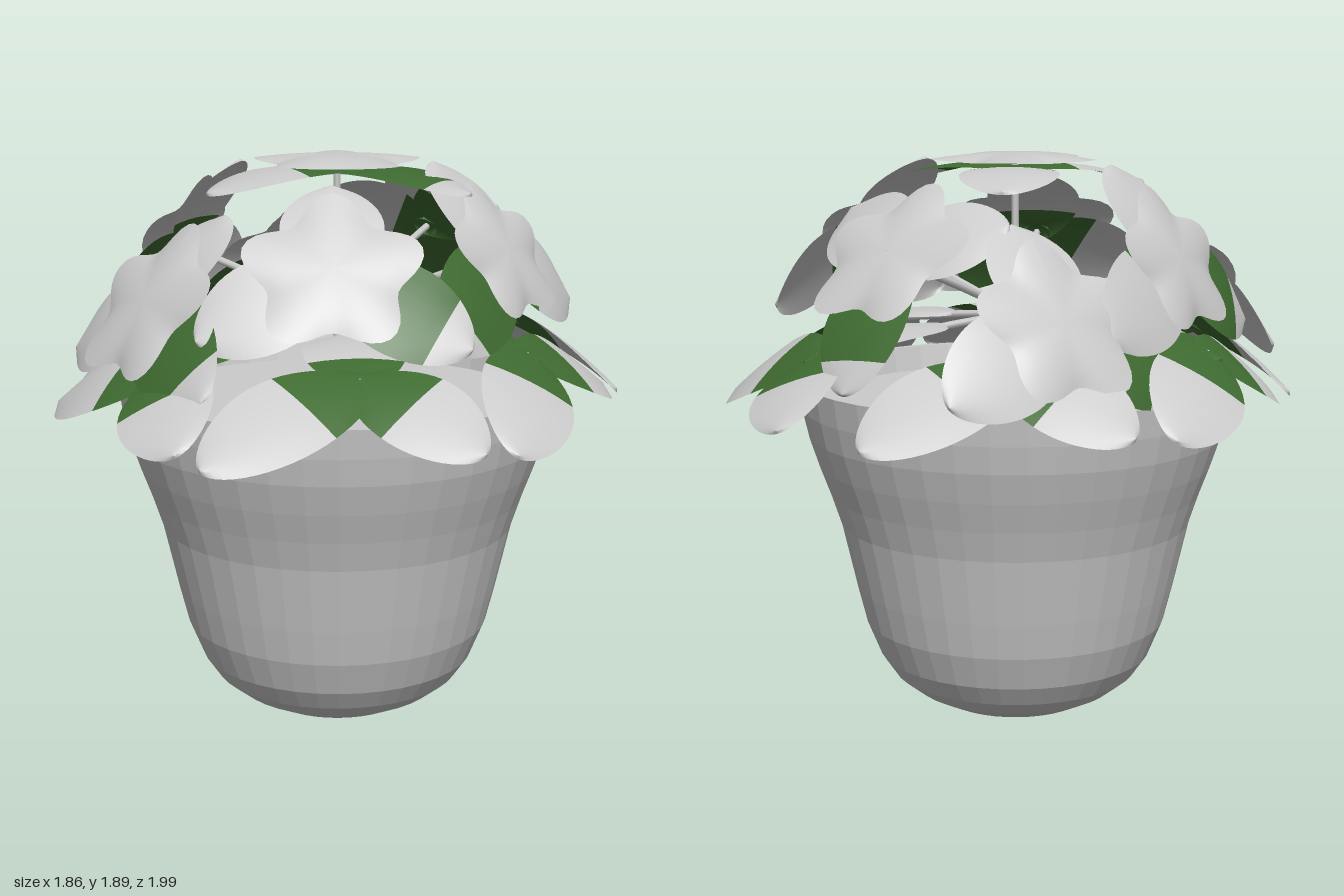
import * as THREE from 'three';

const V = (x, y, z) => new THREE.Vector3(x, y, z);
const rad = THREE.MathUtils.degToRad;
const grey = new THREE.MeshStandardMaterial({ color: 0xcccccc, side: THREE.DoubleSide });
const potGrey = new THREE.MeshStandardMaterial({ color: 0xcccccc, side: THREE.DoubleSide, flatShading: true });
const green = new THREE.MeshStandardMaterial({ color: 0x3f6b31, side: THREE.DoubleSide });

function addMesh(parent, name, geometry, material) {
  const mesh = new THREE.Mesh(geometry, material);
  mesh.name = name;
  parent.add(mesh);
  return mesh;
}

// Basis with x along dir, y as close to normal as possible, origin at pos
function frame(pos, dir, normal) {
  const x = dir.clone().normalize();
  const z = x.clone().cross(normal).normalize();
  const y = z.clone().cross(x);
  return new THREE.Matrix4().makeBasis(x, y, z).setPosition(pos);
}

// Rounded leaf blade between two fractions of its length, gently cupped and arched
function bladeGeometry(length, t0, t1) {
  const g = new THREE.PlaneGeometry(1, 1, 14, 6);
  const p = g.attributes.position;
  for (let i = 0; i < p.count; i++) {
    const t = THREE.MathUtils.lerp(t0, t1, p.getX(i) + 0.5);
    const u = (1 - Math.cos(Math.PI * t)) / 2;
    const half = 0.16 * Math.pow(Math.max(0, Math.sin(Math.PI * Math.pow(u, 1.12))), 0.55);
    const s = p.getY(i) * 2;
    p.setXYZ(i, u * length, 0.06 * Math.sin(Math.PI * u) * length - 0.012 * s * s, -s * half);
  }
  g.computeVertexNormals();
  return g;
}

// Leaf with a green base and a pale tip; the base reaches a little behind its junction
function addLeaf(parent, junction, tip, normal, greenPart) {
  const leaf = new THREE.Group();
  leaf.name = 'leaf';
  const base = junction.clone().lerp(tip, -0.1);
  const dir = tip.clone().sub(base);
  const length = dir.length();
  addMesh(leaf, 'leafBase', bladeGeometry(length, 0, greenPart), green);
  addMesh(leaf, 'leafTip', bladeGeometry(length, greenPart, 1), grey);
  leaf.applyMatrix4(frame(base, dir, normal));
  parent.add(leaf);
}

// Five-lobed bloom, shallowly domed
function bloomGeometry(radius) {
  const g = new THREE.RingGeometry(0.001, 1, 60, 6);
  const p = g.attributes.position;
  for (let i = 0; i < p.count; i++) {
    const x = p.getX(i), y = p.getY(i);
    const a = Math.atan2(y, x), r = Math.hypot(x, y);
    const wave = Math.cos(5 * a);
    const out = radius * r * (1 + r * (0.14 * wave - 0.14));
    p.setXYZ(i, out * Math.cos(a), 0.004 * r * r * wave - 0.025 * r * r, -out * Math.sin(a));
  }
  g.computeVertexNormals();
  return g;
}

function addStem(parent, from, to) {
  const bend = from.clone().lerp(to, 0.5).add(V(0, 0.02, 0));
  const curve = new THREE.QuadraticBezierCurve3(from, bend, to);
  addMesh(parent, 'stem', new THREE.TubeGeometry(curve, 6, 0.013, 6), grey);
}

export function createModel() {
  const model = new THREE.Group();
  model.name = 'pottedFlowers';

  // Pot: faceted bell with a thin lip, turned inward at the rim
  const profile = [
    [0, 0.005], [0.14, 0.03], [0.25, 0.055], [0.34, 0.1], [0.41, 0.155], [0.458, 0.225], [0.505, 0.34],
    [0.535, 0.46], [0.56, 0.57], [0.585, 0.68], [0.618, 0.78], [0.655, 0.88], [0.688, 0.98],
    [0.708, 1.07], [0.722, 1.165], [0.695, 1.165], [0.68, 1.08],
  ].map(([r, y]) => new THREE.Vector2(r, y));
  addMesh(model, 'pot', new THREE.LatheGeometry(profile, 40), potGrey).position.x = -0.02;

  // Soil
  const soil = addMesh(model, 'soil', new THREE.CircleGeometry(0.685, 40), grey);
  soil.rotation.x = -Math.PI / 2;
  soil.position.set(-0.02, 1.08, 0);

  // Central stem
  const hub = V(-0.02, 1.37, 0);
  addStem(model, V(-0.02, 1.06, 0), V(-0.02, 1.86, 0));

  // Flowers: position, heading of the face, tilt from upright, leaf twist, radius, greener side
  const flowers = [
    [-0.02, 1.9, 0.01, 90, 0, 0, 0.28, 1],
    [-0.04, 1.62, 0.57, 90, 48, 0, 0.285, 1],
    [0.52, 1.62, 0.21, 34, 58, 0, 0.25, -1],
    [0.32, 1.63, -0.5, -55, 46, 55, 0.285, 1],
    [-0.24, 1.45, -0.69, -130, 58, 0, 0.28, 1],
    [-0.57, 1.59, -0.24, -152, 62, 0, 0.26, 1],
    [-0.62, 1.49, 0.37, 146, 54, 0, 0.29, 1],
  ];
  for (const [x, y, z, heading, tilt, twist, radius, side] of flowers) {
    const group = new THREE.Group();
    group.name = 'flower';
    const h = rad(heading), t = rad(tilt);
    const normal = V(Math.cos(h) * Math.sin(t), Math.cos(t), Math.sin(h) * Math.sin(t));
    const up = V(-Math.cos(h) * Math.cos(t), Math.sin(t), -Math.sin(h) * Math.cos(t));
    const centre = V(x, y, z);
    addMesh(group, 'bloom', bloomGeometry(radius), grey).applyMatrix4(frame(centre, up, normal));

    // Three leaves behind the bloom
    const base = centre.clone().addScaledVector(normal, -0.05);
    [[0, 0.37, 0.4], [118 * side, 0.47, 0.7], [-115 * side, 0.45, 0.45]].forEach(([angle, length, greenPart]) => {
      const dir = up.clone().applyAxisAngle(normal, -rad(angle + twist));
      const tip = base.clone().addScaledVector(dir, length).addScaledVector(normal, -0.05);
      addLeaf(group, base, tip, normal, greenPart);
    });
    if (tilt > 0) addStem(group, hub, base);
    model.add(group);
  }

  // Lower leaf clusters: junction x, z, then the two outer tips x, z
  const clusters = [
    [0.04, 0.65, -0.42, 0.96, 0.4, 0.87],
    [0.58, 0.28, 0.5, 0.81, 0.87, -0.05],
    [0.55, -0.46, 0.92, -0.05, 0.6, -0.82],
    [-0.08, -0.68, 0.32, -0.99, -0.46, -0.82],
    [-0.66, -0.27, -0.58, -0.75, -0.86, 0.04],
    [-0.56, 0.48, -0.93, 0.1, -0.5, 0.87],
  ];
  for (const [x, z, ax, az, bx, bz] of clusters) {
    const group = new THREE.Group();
    group.name = 'leafCluster';
    const base = V(x, 1.29, z);
    const normal = V(x, 1.1, z).normalize();
    addLeaf(group, base, V(ax, 1.11, az), normal, 0.45);
    addLeaf(group, base, V(bx, 1.13, bz), normal, 0.48);
    addLeaf(group, base, V(x * 0.35, 1.36, z * 0.35), V(x * 0.3, 1, z * 0.3), 0.42);
    addStem(group, hub, base);
    model.add(group);
  }

  return model;
}
